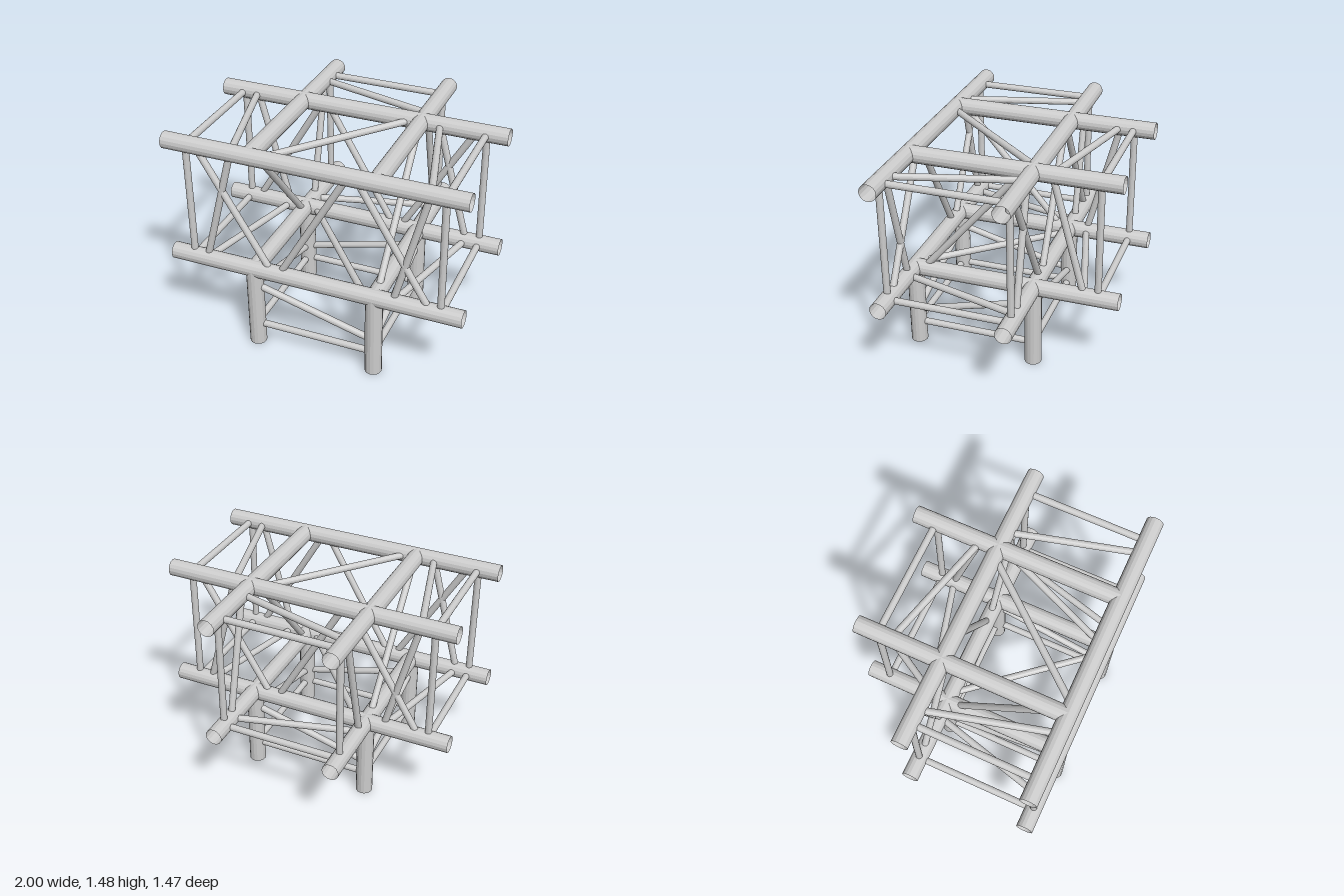
import * as THREE from 'three';

const X = 0.416;                  // half spacing of the chords in x
const ZF = 0.678, ZB = -0.156;    // front and back chord planes
const YB = 0.585, YT = 1.418;     // bottom and top chord planes
const ZE = -0.735;                // end of the back arm
const R = 0.057, BR = 0.023;      // chord and brace radius
const IN = 0.122, OUT = 0.342, FRAME = 0.435; // distances along an arm from its corner

export function createModel() {
  const group = new THREE.Group();
  group.name = 'trussJunction';
  const metal = new THREE.MeshStandardMaterial({
    color: 0xcccccc, flatShading: true, side: THREE.DoubleSide });
  metal.name = 'aluminium';

  // open-ended pipe between two points
  const pipe = (name, a, b, r) => {
    const p = new THREE.Vector3(...a), q = new THREE.Vector3(...b);
    const dir = q.clone().sub(p);
    const mesh = new THREE.Mesh(
      new THREE.CylinderGeometry(r, r, dir.length(), 16, 1, true), metal);
    mesh.position.copy(p).add(q).multiplyScalar(0.5);
    mesh.quaternion.setFromUnitVectors(new THREE.Vector3(0, 1, 0), dir.normalize());
    mesh.name = name;
    group.add(mesh);
  };

  // main chords
  for (const y of [YB, YT]) {
    for (const z of [ZF, ZB]) pipe('crossChord', [-1, y, z], [1, y, z], R);
    for (const x of [-X, X]) pipe('depthChord', [x, y, ZF], [x, y, ZE], R);
  }
  for (const x of [-X, X])
    for (const z of [ZF, ZB]) pipe('leg', [x, 0, z], [x, YB, z], R);

  // each arm: four chord positions in ring order, as points at a distance d from the corner;
  // the diagonals zigzag around the ring between inner and outer nodes
  const arm = (name, corners) => {
    for (let i = 0; i < 4; i++) {
      const a = corners[i], b = corners[(i + 1) % 4];
      pipe(name + 'EndBrace', a(FRAME), b(FRAME), BR);
      pipe(name + 'Diagonal', a(i % 2 ? IN : OUT), b(i % 2 ? OUT : IN), BR);
    }
  };
  const sideRing = [[YB, ZF], [YT, ZF], [YT, ZB], [YB, ZB]];
  arm('rightArm', sideRing.map(([y, z]) => d => [-X - d, y, z]));
  arm('leftArm', [1, 2, 3, 0].map(i => sideRing[i]).map(([y, z]) => d => [X + d, y, z]));
  arm('backArm', [[-X, YT], [X, YT], [X, YB], [-X, YB]].map(([x, y]) => d => [x, y, ZB - d]));
  arm('base', [[X, ZF], [X, ZB], [-X, ZB], [-X, ZF]].map(([x, z]) => d => [x, YB - d, z]));

  // long zigzag on the front face, reversed on the back face
  for (const [z, top, bottom] of [[ZF, YT, YB], [ZB, YB, YT]]) {
    pipe('faceDiagonal', [-0.785, top, z], [-0.29, bottom, z], BR);
    pipe('faceDiagonal', [-0.24, bottom, z], [0.24, top, z], BR);
    pipe('faceDiagonal', [0.29, top, z], [0.785, bottom, z], BR);
  }

  // diagonals of the central bay
  const n = 0.064, f = ZF - n, b = ZB + n, x = X - n;
  pipe('bayDiagonal', [-X, YT, f], [-X, YB, b], BR);
  pipe('bayDiagonal', [X, YB, f], [X, YT, b], BR);
  pipe('bayDiagonal', [-x, YT, ZF], [x, YT, ZB], BR);
  pipe('bayDiagonal', [x, YB, ZF], [-x, YB, ZB], BR);

  return group;
}
